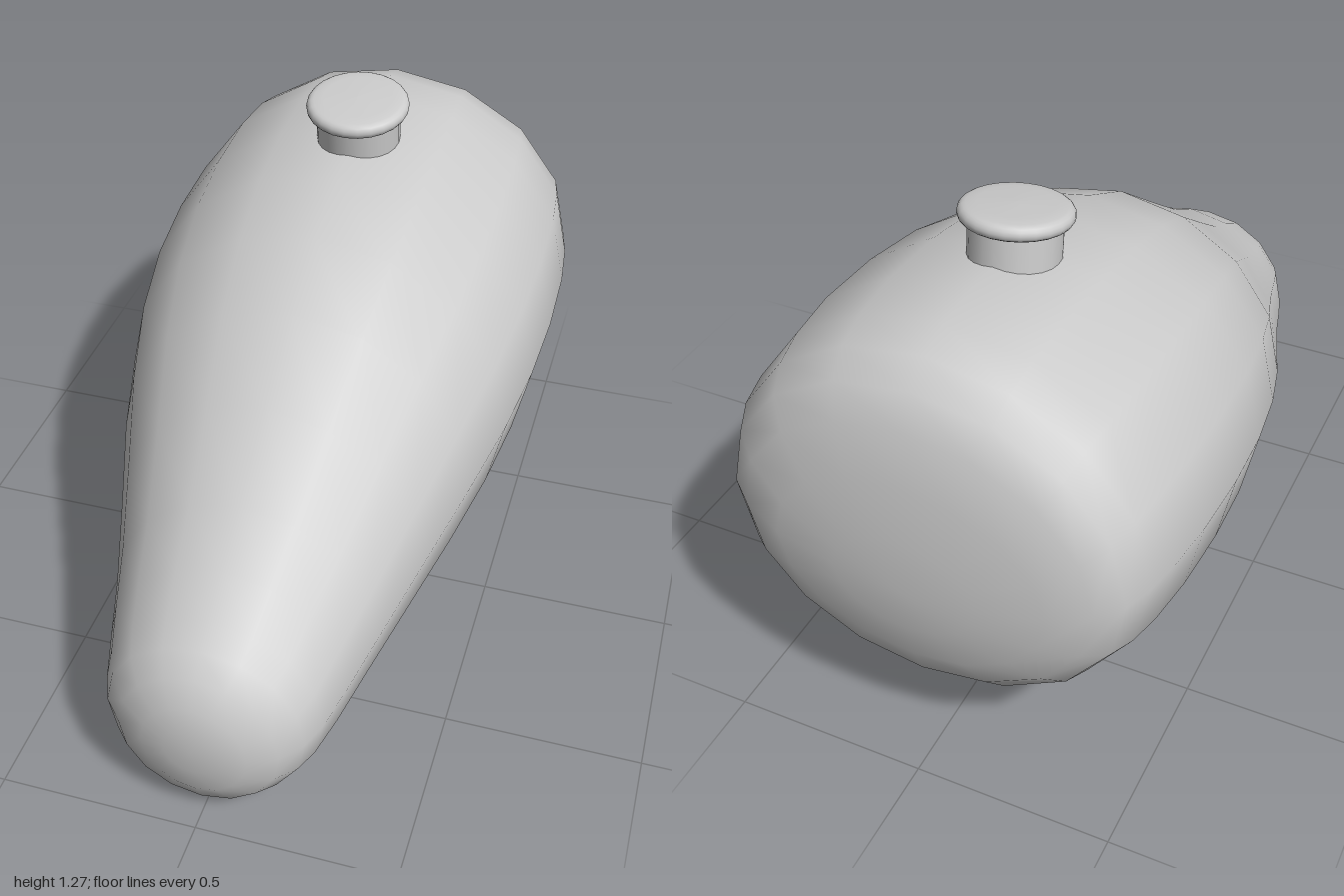
import * as THREE from 'three';

const SIDES = 16;

// Cross-sections of the tank: z, bottom y, top y, half width
const SECTIONS = [
  [0.995, 0.2, 0.34, 0.07],
  [0.982, 0.125, 0.395, 0.13],
  [0.95, 0.06, 0.46, 0.197],
  [0.9, 0.032, 0.503, 0.245],
  [0.84, 0.011, 0.54, 0.271],
  [0.74, 0, 0.603, 0.3],
  [0.6, 0.011, 0.68, 0.338],
  [0.4, 0.035, 0.82, 0.4],
  [0.2, 0.065, 0.962, 0.464],
  [0, 0.092, 1.06, 0.515],
  [-0.2, 0.114, 1.12, 0.546],
  [-0.4, 0.137, 1.153, 0.558],
  [-0.6, 0.165, 1.166, 0.555],
  [-0.74, 0.188, 1.157, 0.54],
  [-0.83, 0.212, 1.133, 0.521],
  [-0.895, 0.245, 1.085, 0.492],
  [-0.94, 0.3, 1.01, 0.435],
  [-0.972, 0.38, 0.88, 0.335],
  [-0.99, 0.48, 0.74, 0.18],
];

// Closed loft through elliptical rings, with a single point at each end
function loft(sections, frontTip, backTip) {
  const pos = [];
  const index = [];
  for (const [z, bottom, top, halfWidth] of sections) {
    const mid = (bottom + top) / 2;
    const halfHeight = (top - bottom) / 2;
    for (let i = 0; i < SIDES; i++) {
      const a = (i / SIDES) * Math.PI * 2;
      pos.push(Math.sin(a) * halfWidth, mid + Math.cos(a) * halfHeight, z);
    }
  }
  const last = (sections.length - 1) * SIDES;
  const front = sections.length * SIDES;
  const back = front + 1;
  pos.push(...frontTip, ...backTip);
  for (let i = 0; i < SIDES; i++) {
    const j = (i + 1) % SIDES;
    for (let r = 0; r < last; r += SIDES) {
      const a = r + i, b = r + j, c = a + SIDES, d = b + SIDES;
      index.push(a, b, c, b, d, c);
    }
    index.push(front, j, i, back, last + i, last + j);
  }
  const geometry = new THREE.BufferGeometry();
  geometry.setAttribute('position', new THREE.Float32BufferAttribute(pos, 3));
  geometry.setIndex(index);
  geometry.computeVertexNormals();
  return geometry;
}

export function createModel() {
  const model = new THREE.Group();
  model.name = 'fuelTank';
  const material = new THREE.MeshStandardMaterial({ color: 0xcccccc });

  // Teardrop body
  const body = new THREE.Mesh(loft(SECTIONS, [0, 0.27, 1], [0, 0.6, -1]), material);
  body.name = 'tankBody';
  model.add(body);

  // Filler neck and cap share a slightly forward-leaning axis
  const filler = new THREE.Group();
  filler.name = 'filler';
  filler.position.set(0, 1.235, -0.393);
  filler.rotation.x = 0.15;
  model.add(filler);

  const neck = new THREE.Mesh(new THREE.CylinderGeometry(0.11, 0.11, 0.15, 24, 1, true), material);
  neck.name = 'fillerNeck';
  neck.position.y = -0.085;
  filler.add(neck);

  // Flat cap with a rounded rim
  const profile = [new THREE.Vector2(0, -0.02), new THREE.Vector2(0.112, -0.02)];
  for (let i = 0; i <= 8; i++) {
    const a = -Math.PI / 2 + (i / 8) * Math.PI;
    profile.push(new THREE.Vector2(0.115 + Math.cos(a) * 0.02, Math.sin(a) * 0.02));
  }
  profile.push(new THREE.Vector2(0.09, 0.024), new THREE.Vector2(0, 0.026));
  const cap = new THREE.Mesh(new THREE.LatheGeometry(profile, 24), material);
  cap.name = 'fillerCap';
  filler.add(cap);

  return model;
}
